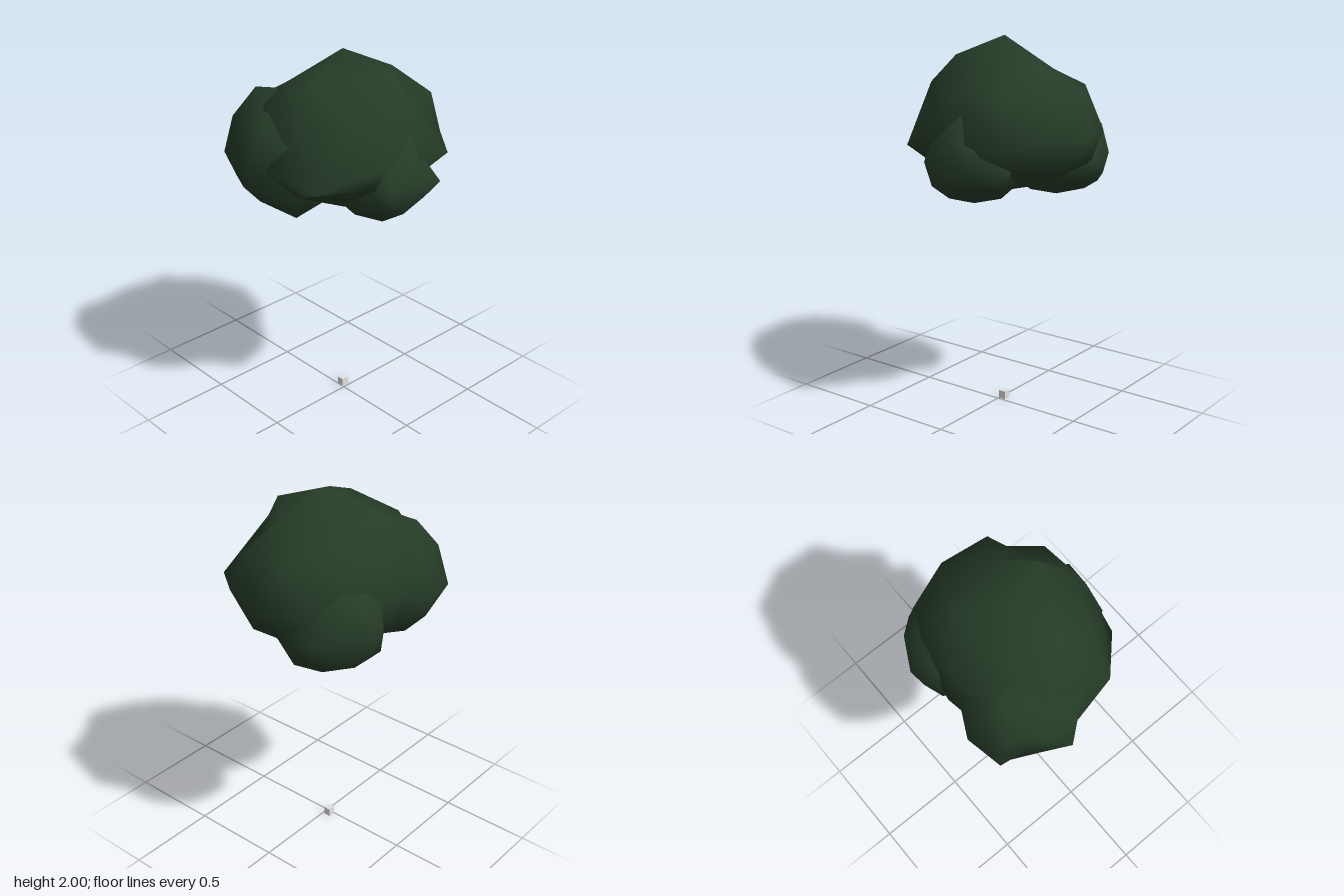
import * as THREE from 'three';
import { mergeVertices } from 'three/addons/utils/BufferGeometryUtils.js';

// Once-subdivided icosahedron with a pole up and an upper-ring corner on +x
function icosphere() {
  const verts = [0, 1, 0], faces = [];
  const h = 1 / Math.sqrt(5), r = 2 * h;
  for (let i = 0; i < 5; i++) {
    const a = i * Math.PI * 2 / 5;
    verts.push(r * Math.cos(a), h, r * Math.sin(a));
  }
  for (let i = 0; i < 5; i++) {
    const a = (i + 0.5) * Math.PI * 2 / 5;
    verts.push(r * Math.cos(a), -h, r * Math.sin(a));
  }
  verts.push(0, -1, 0);
  for (let i = 0; i < 5; i++) {
    const j = (i + 1) % 5, u = 1 + i, v = 1 + j, l = 6 + i, m = 6 + j;
    faces.push(0, v, u, u, v, l, v, m, l, 11, l, m);
  }
  const g = new THREE.PolyhedronGeometry(verts, faces, 1, 1);
  g.deleteAttribute('uv');
  g.deleteAttribute('normal');
  return mergeVertices(g, 1e-4);
}

// Leaf clump: separate radii on the + and - side of each axis,
// then the nearest corner is pulled onto each given point
function clump(name, material, center, plus, minus, pulls) {
  const g = icosphere(), pos = g.attributes.position;
  const p = new THREE.Vector3(), t = new THREE.Vector3();
  for (let i = 0; i < pos.count; i++) {
    p.fromBufferAttribute(pos, i).toArray().forEach((c, k) => {
      pos.setComponent(i, k, center[k] + c * (c > 0 ? plus[k] : minus[k]));
    });
  }
  for (const pull of pulls) {
    t.fromArray(pull);
    let best = 0, dist = Infinity;
    for (let i = 0; i < pos.count; i++) {
      const d = p.fromBufferAttribute(pos, i).distanceTo(t);
      if (d < dist) { dist = d; best = i; }
    }
    pos.setXYZ(best, ...pull);
  }
  g.computeVertexNormals();
  const mesh = new THREE.Mesh(g, material);
  mesh.name = name;
  return mesh;
}

export function createModel() {
  const group = new THREE.Group();
  group.name = 'treeCanopy';
  const leaf = new THREE.MeshStandardMaterial({ color: 0x263c27 });
  leaf.name = 'dark leaf green';
  const grey = new THREE.MeshStandardMaterial({ color: 0xe0e0e0 });
  grey.name = 'light grey';

  // Large central crown with a flattened underside
  group.add(clump('mainCrown', leaf, [-0.03, 1.52, -0.02],
    [0.465, 0.48, 0.51], [0.45, 0.32, 0.545], [
      [0.23, 1.91, -0.11], [0.37, 1.75, -0.02],
      [0.045, 1.89, 0.24], [0.07, 1.88, -0.27],
      [-0.22, 1.83, 0.17], [-0.23, 1.82, -0.19], [-0.4, 1.73, -0.02],
      [0.18, 1.72, -0.45], [0.27, 1.71, -0.22], [-0.12, 1.73, -0.45],
      [0.07, 1.74, 0.39], [0.26, 1.74, 0.22],
      [0.435, 1.5, -0.31], [0.405, 1.45, 0.245],
      [0.24, 1.42, 0.42], [-0.03, 1.48, 0.49],
      [-0.4, 1.5, -0.24], [-0.44, 1.5, 0.1],
    ]));

  // Front clump
  group.add(clump('frontClump', leaf, [-0.165, 1.48, 0.22],
    [0.335, 0.32, 0.345], [0.335, 0.32, 0.33], [
      [-0.13, 1.45, 0.565], [-0.275, 1.46, 0.45], [-0.46, 1.44, 0.42],
      [-0.5, 1.45, 0.22], [-0.33, 1.8, 0.3], [-0.4, 1.65, 0.4],
      [-0.25, 1.32, 0.465], [0.0, 1.46, 0.46], [0, 1.19, 0.33],
      [-0.21, 1.24, 0.375], [0.15, 1.62, 0.37],
    ]));

  // Back clump
  group.add(clump('backClump', leaf, [-0.23, 1.39, -0.23],
    [0.34, 0.3, 0.26], [0.26, 0.225, 0.27], [
      [-0.49, 1.4, -0.245], [-0.315, 1.4, -0.485], [-0.16, 1.38, -0.505],
      [-0.2, 1.27, -0.49], [-0.42, 1.25, -0.09],
    ]));

  // Side clump
  group.add(clump('sideClump', leaf, [0.23, 1.4, -0.02],
    [0.26, 0.2, 0.24], [0.26, 0.235, 0.28], [
      [0.5, 1.4, -0.19], [0.46, 1.4, 0.115], [0.48, 1.29, 0.05],
      [0.32, 1.37, -0.31], [0.4, 1.53, -0.04], [0.4, 1.64, -0.07],
    ]));

  // Small block at ground level
  const block = new THREE.Mesh(new THREE.BoxGeometry(0.04, 0.045, 0.04), grey);
  block.name = 'baseBlock';
  block.position.set(-0.03, 0.0225, -0.02);
  group.add(block);
  return group;
}
